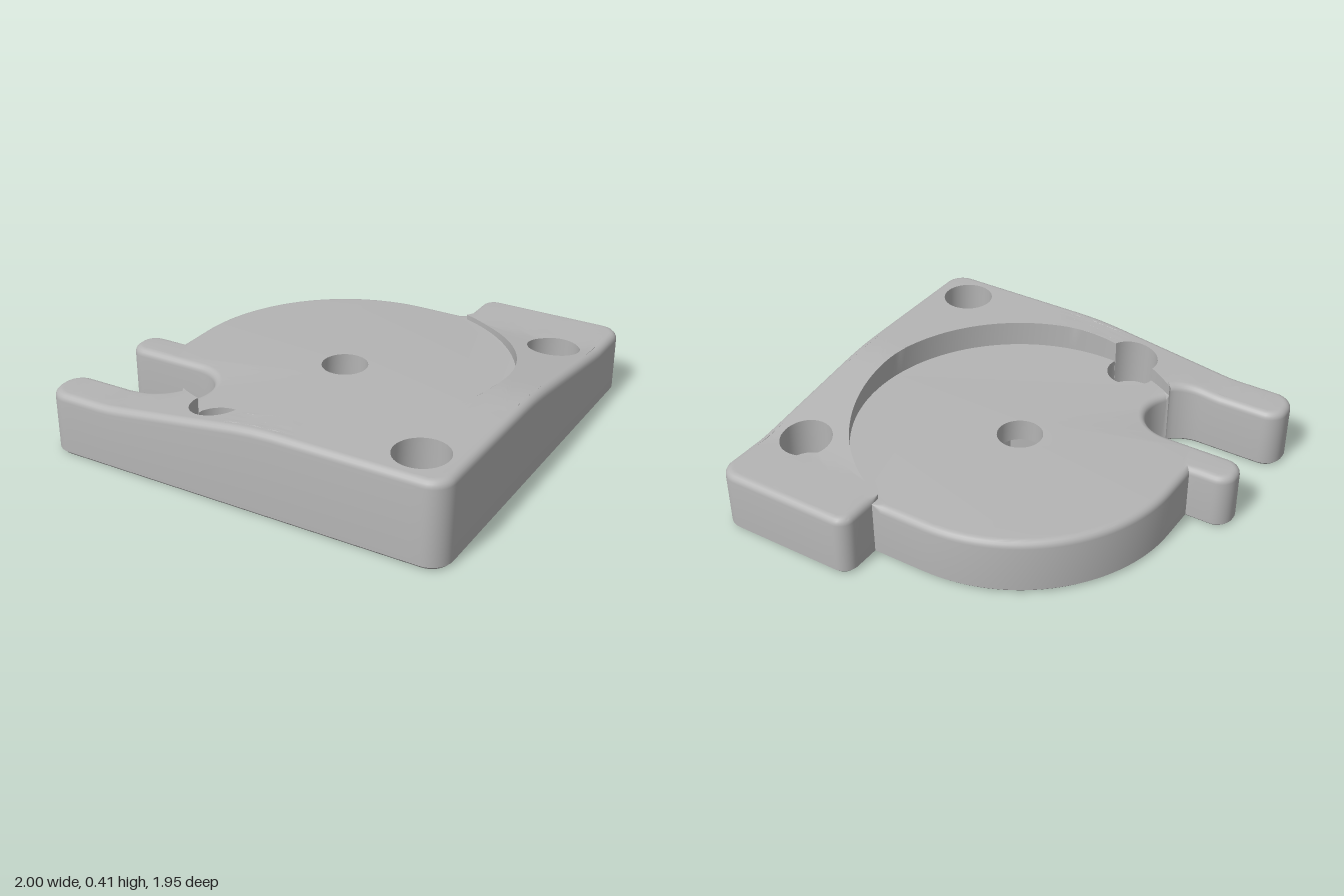
import * as THREE from 'three';
import { toCreasedNormals } from 'three/addons/utils/BufferGeometryUtils.js';

const FLOOR = 0.28, LEDGE = 0.14, HEX_TOP = 0.17, CHAMFER = 0.015, FILLET = 0.035;
const BORE = 0.125, SCREW = 0.07, AXLE = 0.11;
const rad = Math.PI / 180;

// Points are { x, z, r: fillet radius, base: y where the wall starts }
const pt = (x, z, r = FILLET, base = CHAMFER) => ({ x, z, r, base });
function arc(cx, cz, radius, a0, a1, n, r, base) {
  return Array.from({ length: n + 1 }, (_, i) => {
    const a = (a0 + (a1 - a0) * i / n) * rad;
    return pt(cx + radius * Math.cos(a), cz + radius * Math.sin(a), r, base);
  });
}
const recess = (a0, a1, n) => arc(0, 0.02, 0.8, a0, a1, n, 0, FLOOR);
const bore = (a0, a1, n) => arc(-0.19, 0.78, BORE, a0, a1, n, 0, LEDGE);
const circle = (x, z, radius, n = 40) => arc(x, z, radius, 0, 360, n, 0, LEDGE).slice(0, -1);

// Removes repeated points and subdivides long straight runs of a closed loop
function resample(loop) {
  const pts = loop.filter((p, i) => {
    const q = loop[(i + 1) % loop.length];
    return Math.hypot(p.x - q.x, p.z - q.z) > 0.002;
  });
  return pts.flatMap((p, i) => {
    const q = pts[(i + 1) % pts.length], like = p.r > q.r ? p : q;
    const n = Math.ceil(Math.hypot(q.x - p.x, q.z - p.z) / 0.05);
    return Array.from({ length: n }, (_, k) => k === 0 ? p
      : pt(p.x + (q.x - p.x) * k / n, p.z + (q.z - p.z) * k / n, like.r, like.base));
  });
}

// Moves every point inward along its mitred normal
function inset(pts, amount) {
  return pts.map((p, i) => {
    const a = pts[(i + pts.length - 1) % pts.length], b = pts[(i + 1) % pts.length];
    const l1 = Math.hypot(p.x - a.x, p.z - a.z), l2 = Math.hypot(b.x - p.x, b.z - p.z);
    const n1 = [(p.z - a.z) / l1, (a.x - p.x) / l1], n2 = [(b.z - p.z) / l2, (p.x - b.x) / l2];
    const k = amount(p) / Math.max(0.4, 1 + n1[0] * n2[0] + n1[1] * n2[1]);
    return { ...p, x: p.x + (n1[0] + n2[0]) * k, z: p.z + (n1[1] + n2[1]) * k };
  });
}

// Rim height: high at the front left corner, ramping down along both arms
const ramp = [[-0.67, 0.305], [-0.6, 0.313], [0.0, 0.394], [0.1, 0.404], [0.2, 0.408]];
function rampHeight(t) {
  if (t <= ramp[0][0]) return ramp[0][1];
  for (let i = 1; i < ramp.length; i++) {
    const [t0, y0] = ramp[i - 1], [t1, y1] = ramp[i];
    if (t < t1) return y0 + (y1 - y0) * (t - t0) / (t1 - t0);
  }
  return ramp[ramp.length - 1][1];
}
const rimHeight = (x, z) => Math.min(rampHeight(x), rampHeight(z));
const flat = y => () => y;

// Wall strip between two matching rings of { x, y, z }
function strip(out, low, high) {
  low.forEach((a, i) => {
    const j = (i + 1) % low.length, b = low[j], c = high[j], d = high[i];
    for (const p of [a, b, c, a, c, d]) out.push(p.x, p.y, p.z);
  });
}

// Filled face with holes; fine triangles let it follow the height rule
function cap(out, contour, holes, height, up = true, maxEdge = Infinity) {
  const v = loop => loop.map(p => new THREE.Vector2(p.x, -p.z));
  const all = [...v(contour), ...holes.flatMap(v)];
  const emit = (a, b, c) => {
    const ab = a.distanceTo(b), bc = b.distanceTo(c), ca = c.distanceTo(a);
    const m = Math.max(ab, bc, ca);
    if (m > maxEdge) {
      if (m === bc) return emit(b, c, a);
      if (m === ca) return emit(c, a, b);
      const mid = a.clone().add(b).multiplyScalar(0.5);
      emit(a, mid, c);
      return emit(mid, b, c);
    }
    const ccw = (b.x - a.x) * (c.y - a.y) - (b.y - a.y) * (c.x - a.x) > 0;
    for (const p of ccw === up ? [a, b, c] : [a, c, b]) out.push(p.x, height(p.x, -p.y), -p.y);
  };
  for (const [a, b, c] of THREE.ShapeUtils.triangulateShape(v(contour), holes.map(v))) {
    emit(all[a], all[b], all[c]);
  }
}

// Body with upright walls, a rounded top edge and a top face
function body(out, loop, holes, height, maxEdge) {
  let low = loop.map(p => ({ ...p, y: p.base }));
  for (let k = 0; k <= 5; k++) {
    const t = k / 5 * Math.PI / 2;
    const ring = inset(loop, p => p.r * (1 - Math.cos(t)));
    ring.forEach(p => { p.y = height(p.x, p.z) - p.r * (1 - Math.sin(t)); });
    strip(out, low, ring);
    low = ring;
  }
  cap(out, low, holes, height, true, maxEdge);
  for (const h of holes) {
    strip(out, h.map(p => ({ ...p, y: p.base })), h.map(p => ({ ...p, y: height(p.x, p.z) })));
  }
}

export function createModel() {
  const group = new THREE.Group();
  const grey = new THREE.MeshStandardMaterial({ color: 0xb4b4b4 });
  grey.name = 'grey';
  const add = (name, geometry) => {
    const mesh = new THREE.Mesh(toCreasedNormals(geometry, 0.5), grey);
    mesh.name = name;
    group.add(mesh);
  };
  const build = (name, fill) => {
    const out = [];
    fill(out);
    const g = new THREE.BufferGeometry();
    g.setAttribute('position', new THREE.Float32BufferAttribute(out, 3));
    add(name, g);
  };

  // Outer edge of the raised rim: slot, front arm, corners, back block
  const rimEdge = [
    ...arc(-0.59, 0.567, 0.187, 42, 90, 8),
    ...arc(-0.91, 0.844, 0.09, -90, -180, 8),
    ...arc(-0.9, 0.87, 0.1, 180, 90, 8),
    ...arc(0.9, 0.87, 0.1, 90, 0, 8),
    ...arc(0.9, -0.88, 0.1, 0, -90, 8),
    ...arc(0.34, -0.91, 0.07, -90, -180, 8),
  ];
  // Outer edge of the low disc: round back, short arm, slot
  const discEdge = [
    ...arc(0, 0.02, 0.8, -90, -180, 30),
    pt(-0.8, 0.2),
    ...arc(-0.92, 0.28, 0.08, -90, -180, 8),
    ...arc(-0.92, 0.3, 0.08, 180, 90, 8),
    ...arc(-0.59, 0.567, 0.187, -90, 36, 20),
  ];
  const slotJoint = { ...recess(124, 124, 1)[0], base: CHAMFER };
  const blockJoint = pt(0.27, -0.78, 0);

  const rim = resample([
    slotJoint, ...rimEdge, pt(0.27, -0.78), pt(0.27, -0.733, 0),
    ...recess(-70, 95.3, 60), ...bore(17.7, 190.4, 20), ...recess(112.8, 123, 4),
  ]);
  const disc = resample([
    blockJoint, ...discEdge, slotJoint,
    ...recess(123, 112.8, 4), ...bore(190.4, 377.7, 20), ...recess(95.3, -70, 60),
  ]);
  const rimScrews = [[0.8, 0.78], [0.8, -0.58]];
  const screws = [...rimScrews, [-0.19, 0.78]];
  const axle = circle(0, 0.02, AXLE).map(p => ({ ...p, base: HEX_TOP }));

  build('raisedRim', out =>
    body(out, rim, rimScrews.map(([x, z]) => circle(x, z, BORE)), rimHeight, 0.08));
  build('recessedDisc', out => body(out, disc, [axle], flat(FLOOR)));

  // Underside with a small chamfer, screw holes and a hexagonal nut pocket
  const hex = arc(0, 0.02, 0.205, 45, 405, 6).slice(0, -1);
  const at = (loop, y) => loop.map(p => ({ ...p, y }));
  build('underside', out => {
    const outline = resample([slotJoint, ...rimEdge, blockJoint, ...discEdge]);
    const inner = inset(outline, () => CHAMFER);
    strip(out, at(inner, 0), at(outline, CHAMFER));
    cap(out, inner, [hex, ...screws.map(([x, z]) => circle(x, z, SCREW))], flat(0), false);
  });
  build('nutPocket', out => {
    strip(out, at(hex, 0), at(hex, HEX_TOP));
    cap(out, [...hex].reverse(), [axle], flat(HEX_TOP), false);
  });

  // Screw seats: ledge and through hole
  for (const [x, z] of screws) {
    build('screwSeat', out => {
      const hole = circle(x, z, SCREW);
      cap(out, circle(x, z, BORE).reverse(), [hole], flat(LEDGE));
      strip(out, at(hole, 0), at(hole, LEDGE));
    });
  }
  return group;
}
